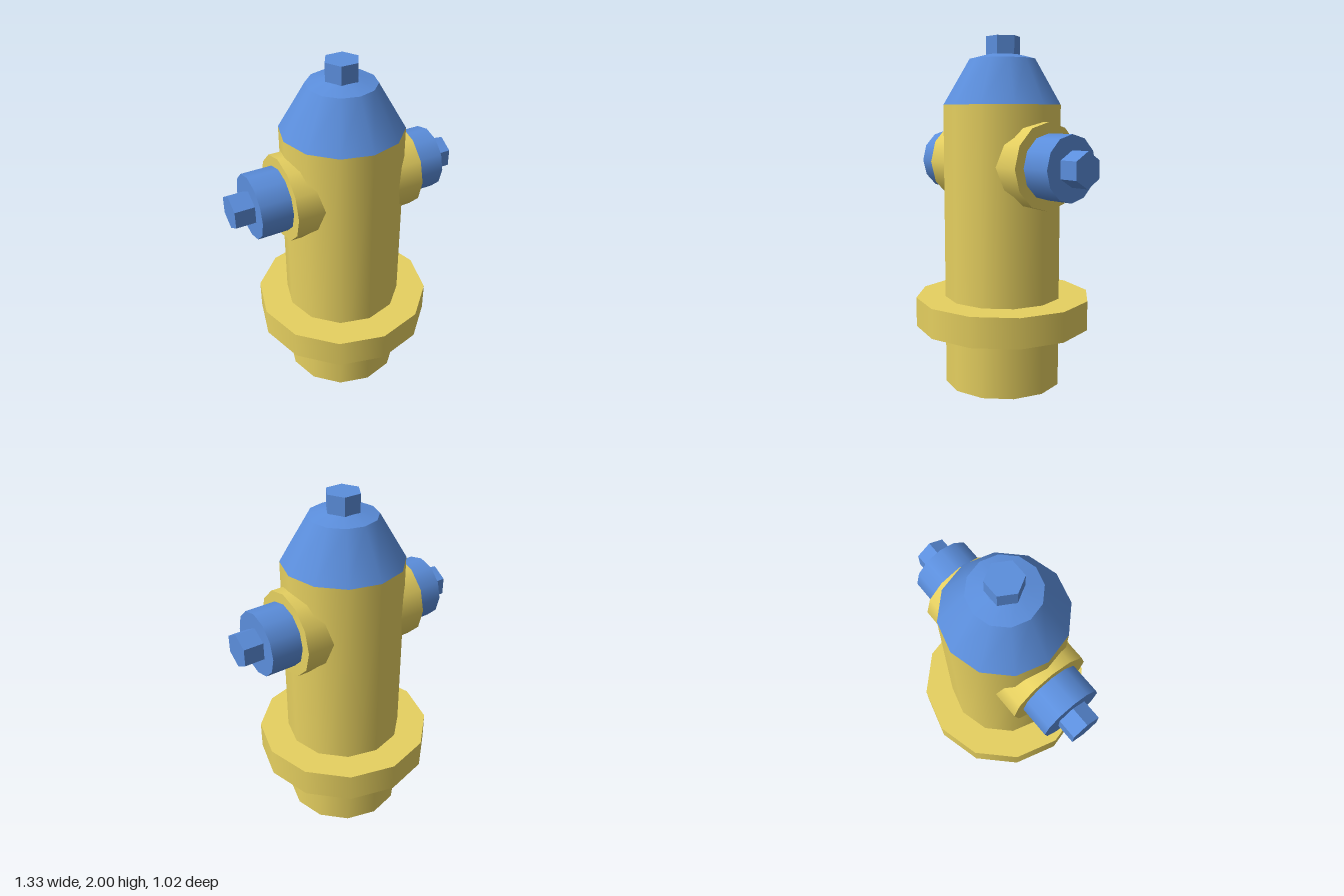
import * as THREE from 'three';

const yellow = new THREE.MeshStandardMaterial({ color: 0xe6d060 });
const blue = new THREE.MeshStandardMaterial({ color: 0x5b8edc });
const blueFlat = new THREE.MeshStandardMaterial({ color: 0x5b8edc, flatShading: true });

// Upright drum between two heights, tapering from rBottom to rTop
function drum(name, material, rBottom, rTop, y0, y1, sides = 12) {
  const geometry = new THREE.CylinderGeometry(rTop, rBottom, y1 - y0, sides);
  if (sides === 6) geometry.rotateY(Math.PI / 6); // hex corners point along x
  geometry.translate(0, (y0 + y1) / 2, 0);
  const mesh = new THREE.Mesh(geometry, material);
  mesh.name = name;
  return mesh;
}

// Side outlet built upright, then laid along +x or -x
function outlet(name, side) {
  const group = new THREE.Group();
  group.name = name;
  group.add(
    drum('outletCollar', yellow, 0.24, 0.24, 0.1, 0.38),
    drum('outletCap', blue, 0.18, 0.18, 0.38, 0.555),
    drum('outletNut', blueFlat, 0.097, 0.097, 0.555, 0.667, 6)
  );
  group.rotation.z = -side * Math.PI / 2;
  group.position.y = 1.287;
  return group;
}

export function createModel() {
  const model = new THREE.Group();
  model.name = 'fireHydrant';
  model.add(
    // Barrel and ground flange
    drum('barrel', yellow, 0.34, 0.34, 0, 1.62),
    drum('flange', yellow, 0.51, 0.51, 0.345, 0.515),
    // Bonnet with shallow crown and top nut
    drum('bonnet', blue, 0.34, 0.19, 1.62, 1.875),
    drum('crown', blue, 0.19, 0.09, 1.875, 1.9),
    drum('topNut', blueFlat, 0.097, 0.097, 1.88, 2, 6),
    // Side outlets
    outlet('leftOutlet', 1),
    outlet('rightOutlet', -1)
  );
  return model;
}
